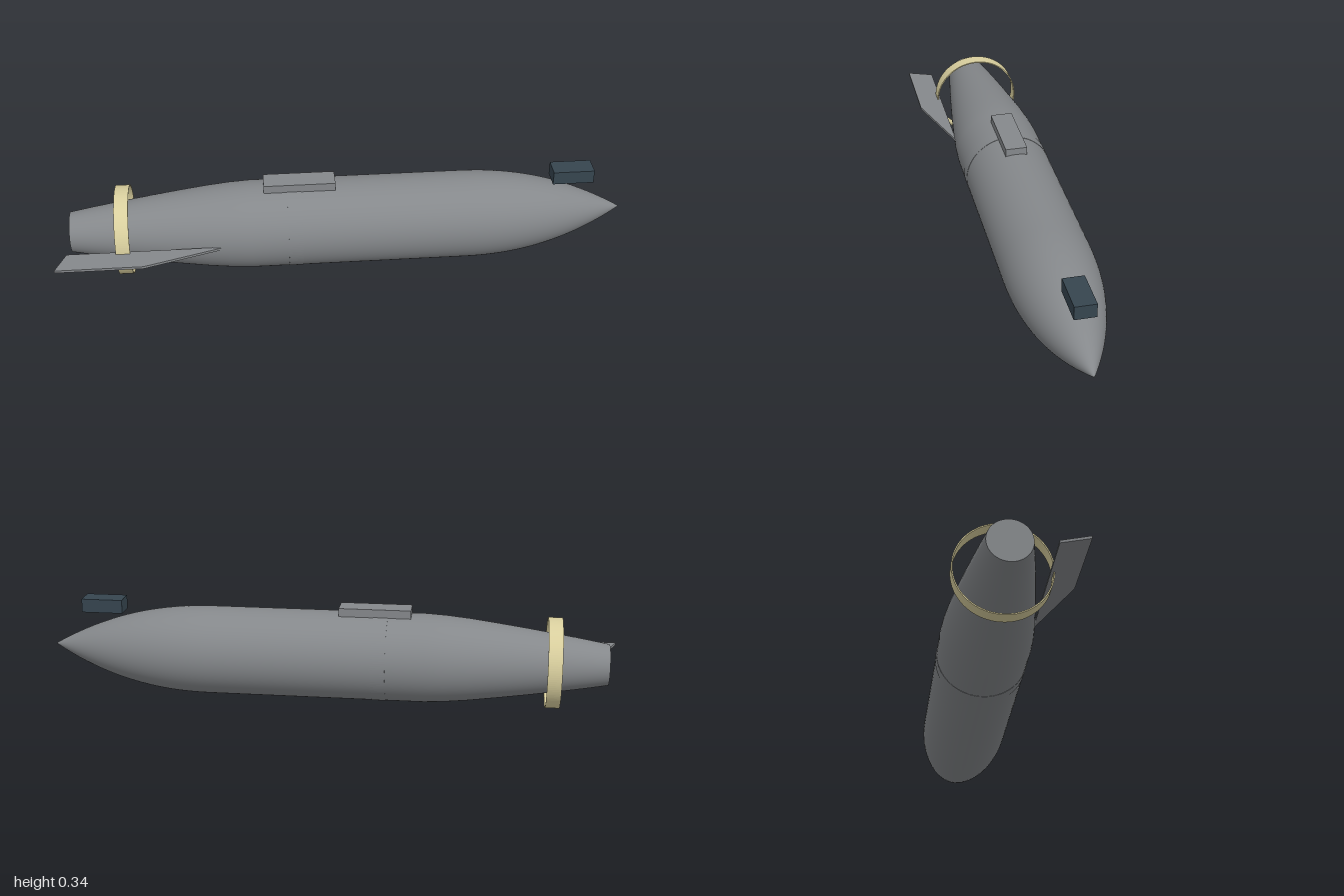
import * as THREE from 'three';

const AXIS_Y = 0.157, AXIS_Z = -0.038, R = 0.155;

export function createModel() {
  const root = new THREE.Group();
  root.name = 'finnedStore';

  const grey = new THREE.MeshStandardMaterial({ color: 0x85888b });
  grey.name = 'hull grey';
  const tan = new THREE.MeshStandardMaterial({ color: 0xd9cf9e });
  tan.name = 'pale tan';
  const slate = new THREE.MeshStandardMaterial({ color: 0x36454f });
  slate.name = 'dark slate';

  const add = (name, geometry, material, x, y, z) => {
    const mesh = new THREE.Mesh(geometry, material);
    mesh.name = name;
    mesh.position.set(x, y, z);
    root.add(mesh);
    return mesh;
  };
  const box = (name, material, x0, x1, y0, y1, z0, z1) =>
    add(name, new THREE.BoxGeometry(x1 - x0, y1 - y0, z1 - z0), material,
      (x0 + x1) / 2, (y0 + y1) / 2, (z0 + z1) / 2);

  // Body: tapered tail, straight middle, curved pointed nose
  const profile = [
    [0.071, -0.96], [0.085, -0.88], [0.101, -0.78], [0.116, -0.68],
    [0.13, -0.58], [0.143, -0.48], [0.151, -0.4], [R, -0.33], [R, 0],
  ].map(([r, x]) => new THREE.Vector2(r, x));
  const noseStart = 0.42;
  for (let i = 0; i <= 20; i++) {
    const t = i / 20;
    profile.push(new THREE.Vector2(
      R * (1 - Math.pow(t, 2.2)), noseStart + (1 - noseStart) * t));
  }
  const bodyGeometry = new THREE.LatheGeometry(profile, 64).rotateZ(-Math.PI / 2);
  add('body', bodyGeometry, grey, 0, AXIS_Y, AXIS_Z);

  // Flat tail end
  const cap = new THREE.CircleGeometry(0.071, 64).rotateY(-Math.PI / 2);
  add('tailCap', cap, grey, -0.96, AXIS_Y, AXIS_Z);

  // Slim bands round the middle and the tail
  const band = (name, material, x0, x1, outer, inner) => {
    const shape = new THREE.Shape().absarc(0, 0, outer, 0, Math.PI * 2);
    shape.holes.push(new THREE.Path().absarc(0, 0, inner, 0, Math.PI * 2, true));
    const geometry = new THREE.ExtrudeGeometry(shape,
      { depth: x1 - x0, bevelEnabled: false, curveSegments: 64 });
    geometry.rotateY(Math.PI / 2);
    add(name, geometry, material, x0, AXIS_Y, AXIS_Z);
  };
  band('bodyBand', grey, -0.2, -0.15, R + 0.001, R - 0.003);
  band('tailRing', tan, -0.797, -0.748, 0.157, 0.153);

  // Single swept side fin, drawn in x and z
  const finShape = new THREE.Shape([
    [-1, 0.195], [-0.7, 0.195], [-0.42, 0.106], [-0.965, 0.106],
  ].map(([x, z]) => new THREE.Vector2(x, z)));
  const finGeometry = new THREE.ExtrudeGeometry(finShape,
    { depth: 0.009, bevelEnabled: false });
  finGeometry.rotateX(Math.PI / 2);
  add('sideFin', finGeometry, grey, 0, 0.163, 0);

  // Mounting lug on top and the block above the nose
  box('topLug', grey, -0.28, -0.03, 0.305, 0.336, -0.077, 0);
  box('noseBlock', slate, 0.74, 0.885, 0.288, 0.336, -0.074, -0.002);

  return root;
}
